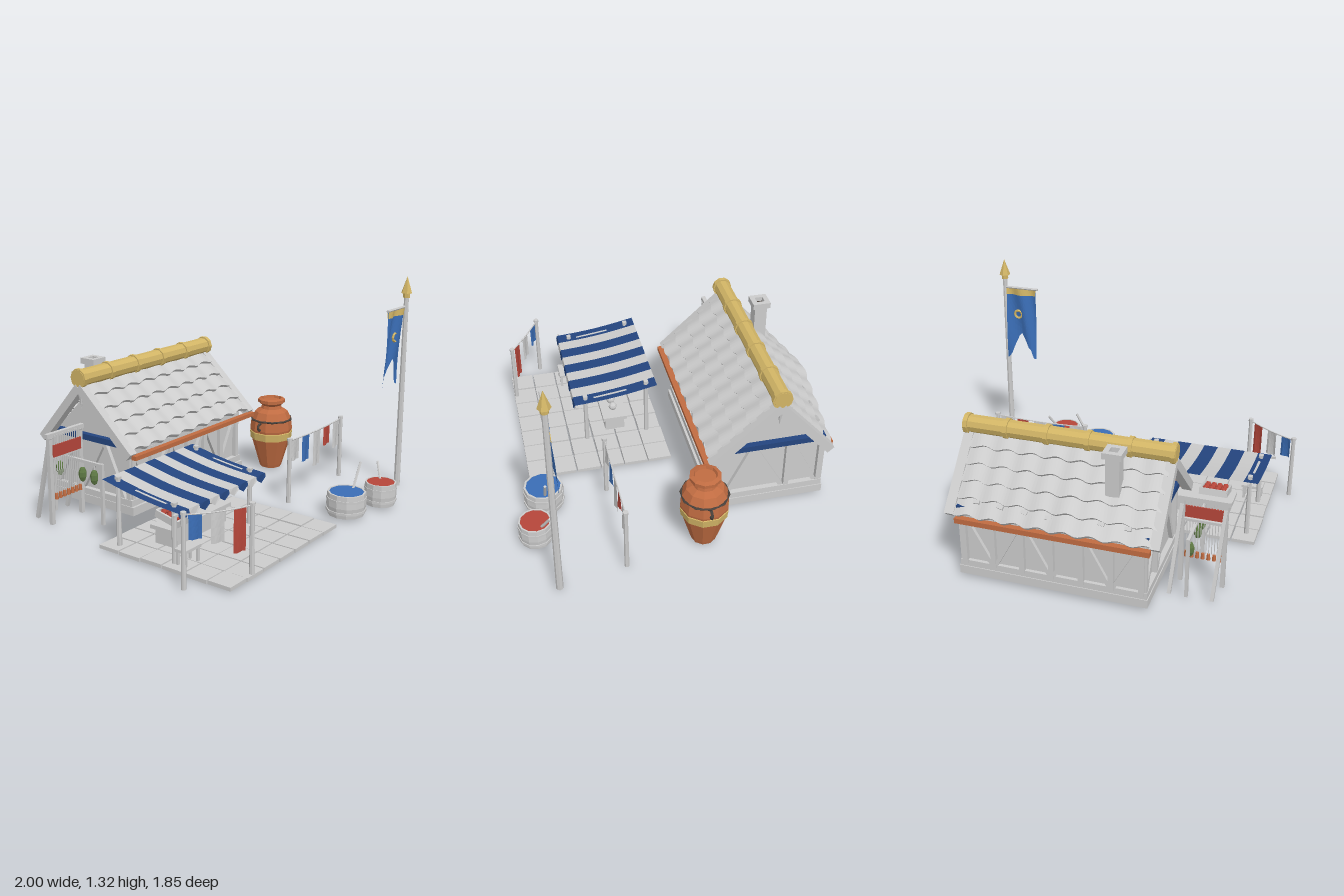
import * as THREE from 'three';
import { ParametricGeometry } from 'three/addons/geometries/ParametricGeometry.js';

const GREY = 0xcccccc, GOLD = 0xd2b566, BLUE = 0x3a6db5, NAVY = 0x24457f, RED = 0xb5463a,
  CLAY = 0xc06c42, DARK = 0x4a423c, GREEN = 0x5f7a45;
const V = (x, y, z) => new THREE.Vector3(x, y, z);
const lerp = THREE.MathUtils.lerp;
const mats = {};
const mat = (c) => (mats[c] ??= new THREE.MeshStandardMaterial({ color: c, flatShading: true, side: THREE.DoubleSide }));
const jitter = (n) => { const s = Math.sin(n * 12.9898) * 43758.5453; return s - Math.floor(s) - 0.5; };

function add(parent, name, geo, color = GREY, pos = [0, 0, 0]) {
  const m = new THREE.Mesh(geo, mat(color));
  m.name = name;
  m.position.set(...pos);
  parent.add(m);
  return m;
}
function group(parent, name) {
  const g = new THREE.Group();
  g.name = name;
  parent.add(g);
  return g;
}
const box = (p, name, size, pos, color) => add(p, name, new THREE.BoxGeometry(...size), color, pos);
const cyl = (p, name, r1, r2, h, n, pos, color) => add(p, name, new THREE.CylinderGeometry(r1, r2, h, n), color, pos);

// Bar between two points: square if sides = 0, otherwise round
function beam(p, name, a, b, w, d, color, sides = 0) {
  const dir = b.clone().sub(a), len = dir.length();
  const geo = sides ? new THREE.CylinderGeometry(w / 2, w / 2, len, sides) : new THREE.BoxGeometry(w, len, d);
  const m = add(p, name, geo, color);
  m.position.copy(a).add(b).multiplyScalar(0.5);
  m.quaternion.setFromUnitVectors(V(0, 1, 0), dir.normalize());
  return m;
}
const sheet = (p, name, f, nu, nv, color) =>
  add(p, name, new ParametricGeometry((u, v, t) => t.copy(f(u, v)), nu, nv), color);

// Overlapping wavy tile courses between a ridge line and an eave line
function roofSlope(p, name, x0, x1, top, eave, side) {
  const courses = 5;
  for (let i = 0; i < courses; i++) {
    sheet(p, name, (u, v) => {
      const x = lerp(x0, x1, u), e = eave(x), ph = (x * Math.PI * 2) / 0.14;
      const low = v > 0.25;
      const t = low ? (i + 1) / courses + 0.018 * Math.sin(ph) : i / courses - 0.02;
      const n = V(0, e[0] - top[0], top[1] - e[1]);
      n.y = Math.abs(n.y);
      n.z = Math.abs(n.z) * side;
      n.normalize();
      const lift = (v > 0.75 ? 0 : low ? 0.024 : 0.004) + 0.004 * Math.cos(ph);
      return V(x, lerp(top[1], e[1], t), lerp(top[0], e[0], t)).addScaledVector(n, lift);
    }, 64, 2, GREY);
  }
}

function buildHouse(root) {
  const h = group(root, 'house');
  const xa = -0.43, xb = 0.57, zf = -0.23, zb = -0.82, zr = -0.535;
  box(h, 'plinth', [1.07, 0.05, 0.66], [0.07, 0.045, -0.515]);
  box(h, 'sill', [1.06, 0.045, 0.64], [0.07, 0.085, -0.52]);
  const s = new THREE.Shape([[zf, 0.06], [zf, 0.42], [zr, 0.7], [zb, 0.42], [zb, 0.06]].map((q) => new THREE.Vector2(...q)));
  const walls = new THREE.ExtrudeGeometry(s, { depth: xb - xa, bevelEnabled: false });
  walls.rotateY(-Math.PI / 2).translate(xb, 0, 0);
  add(h, 'walls', walls);

  // Timber framing on the long walls
  for (const z of [zf + 0.008, zb - 0.008]) {
    box(h, 'wallPlate', [1.05, 0.035, 0.03], [0.07, 0.385, z]);
    for (let i = 0; i <= 6; i++) box(h, 'wallPost', [0.03, 0.3, 0.035], [lerp(xa, xb, i / 6), 0.24, z]);
    for (let i = 0; i < 6; i++) {
      const a = lerp(xa, xb, (i + 0.08) / 6), b = lerp(xa, xb, (i + 0.92) / 6), up = i % 2;
      beam(h, 'wallBrace', V(a, up ? 0.11 : 0.37, z), V(b, up ? 0.37 : 0.11, z), 0.022, 0.025);
    }
  }
  // Gable framing, tie beams and barge boards at both ends
  for (const [x, bx] of [[xa - 0.01, -0.5], [xb + 0.01, 0.64]]) {
    for (const z of [zf, -0.625, zb]) box(h, 'gablePost', [0.035, 0.34, 0.03], [x, 0.26, z]);
    box(h, 'tieBeam', [0.05, 0.035, 0.62], [x, 0.425, -0.525], NAVY);
    beam(h, 'gableBrace', V(x, 0.1, -0.27), V(x, 0.42, -0.42), 0.026, 0.026);
    beam(h, 'gableBrace', V(x, 0.42, -0.42), V(x, 0.1, -0.6), 0.026, 0.026);
    beam(h, 'gableBrace', V(x, 0.42, -0.64), V(x, 0.1, -0.8), 0.026, 0.026);
    beam(h, 'bargeBoard', V(bx, 0.735, zr), V(bx, 0.39, -0.16), 0.055, 0.05);
    beam(h, 'bargeBoard', V(bx, 0.735, zr), V(bx, 0.385, -0.845), 0.055, 0.05);
    const drop = add(h, 'gablePendant', new THREE.ConeGeometry(0.018, 0.09, 6), GREY, [bx, 0.65, zr]);
    drop.rotation.x = Math.PI;
  }
  // Roof: straight in front, bowed outward at the back
  roofSlope(h, 'frontRoofTiles', -0.49, 0.63, [zr, 0.75], () => [-0.165, 0.415], 1);
  roofSlope(h, 'backRoofTiles', -0.5, 0.62, [zr, 0.75], (x) => {
    const k = x < -0.04 ? (x + 0.5) / 0.46 : (0.62 - x) / 0.66;
    return [lerp(-0.845, -0.915, k), lerp(0.39, 0.43, k)];
  }, -1);
  for (let i = 0; i < 7; i++) {
    const m = box(h, 'brokenTile', [0.035, 0.015, 0.02], [-0.35 + i * 0.14, 0.475 + 0.01 * jitter(i), -0.85 + 0.03 * Math.abs(i - 3) / 3]);
    m.rotation.set(-0.8, jitter(i + 3), 0);
  }
  box(h, 'frontEaveBoard', [1.15, 0.025, 0.035], [0.07, 0.387, -0.14], CLAY);
  box(h, 'backEaveBoard', [1.08, 0.03, 0.035], [0.06, 0.375, -0.865], CLAY);
  cyl(h, 'ridgeLog', 0.05, 0.05, 1.19, 10, [0.07, 0.787, zr], GOLD).rotation.z = Math.PI / 2;
  for (let i = 0; i < 6; i++)
    cyl(h, 'ridgeBand', 0.058, 0.058, 0.025, 10, [-0.51 + i * 0.232, 0.787, zr], GOLD).rotation.z = Math.PI / 2;

  // Chimney with a hollow cap
  box(h, 'chimneyStack', [0.075, 0.28, 0.075], [-0.235, 0.67, -0.69]);
  const cap = new THREE.Shape([[-1, -1], [1, -1], [1, 1], [-1, 1]].map(([a, b]) => new THREE.Vector2(a * 0.053, b * 0.053)));
  cap.holes.push(new THREE.Path([[-1, -1], [-1, 1], [1, 1], [1, -1]].map(([a, b]) => new THREE.Vector2(a * 0.024, b * 0.024))));
  add(h, 'chimneyCap', new THREE.ExtrudeGeometry(cap, { depth: 0.035, bevelEnabled: false }), GREY, [-0.235, 0.805, -0.69]).rotation.x = -Math.PI / 2;
  box(h, 'chimneyFlue', [0.046, 0.004, 0.046], [-0.235, 0.812, -0.69], DARK);
}

function buildStall(root) {
  const g = group(root, 'marketStall');
  for (let i = 0; i < 7; i++) for (let j = 0; j < 6; j++) {
    const k = i * 6 + j, size = 0.136 + 0.006 * jitter(k);
    const m = box(g, 'pavingSlab', [size, 0.02, size], [-0.815 + i * 0.1445, 0.016 + 0.005 * jitter(k + 50), 0.008 + j * 0.1445]);
    m.rotation.y = 0.03 * jitter(k + 99);
  }
  // Striped awning with pointed valance
  const x0 = -0.875, w = 0.0843, roofY = (t) => lerp(0.395, 0.325, t) - 0.012 * Math.sin(Math.PI * t);
  for (let i = 0; i < 9; i++) {
    const c = i % 2 ? GREY : NAVY, xl = x0 + i * w;
    sheet(g, 'awningStripe', (u, v) => V(xl + u * w, roofY(v), lerp(-0.03, 0.475, v)), 1, 8, c);
    sheet(g, 'awningValance', (u, v) => V(xl + u * w, 0.325 - v * (0.02 + 0.025 * (1 - Math.abs(2 * u - 1))), 0.475 + 0.006 * v), 2, 1, c);
  }
  for (const x of [-0.82, -0.16]) {
    for (const [z, top] of [[0.03, 0.4], [0.405, 0.345]]) {
      cyl(g, 'awningPost', 0.013, 0.015, top, 7, [x, top / 2, z]);
      box(g, 'postCap', [0.026, 0.014, 0.026], [x, top, z]);
    }
    beam(g, 'awningRail', V(x, 0.375, -0.03), V(x, 0.312, 0.47), 0.014, 0.014);
  }
  beam(g, 'awningFrontRail', V(-0.9, 0.314, 0.465), V(-0.1, 0.314, 0.465), 0.014, 0.014);
  // Counter with goods
  box(g, 'counterBody', [0.47, 0.09, 0.12], [-0.445, 0.065, 0.22]);
  box(g, 'counterTop', [0.52, 0.022, 0.15], [-0.445, 0.122, 0.22]);
  const crate = group(g, 'fruitCrate');
  crate.position.set(-0.585, 0.17, 0.225);
  crate.rotation.x = 0.22;
  box(crate, 'crateFloor', [0.16, 0.012, 0.15], [0, -0.015, 0]);
  for (const s of [-1, 1]) {
    box(crate, 'crateSide', [0.012, 0.04, 0.15], [s * 0.08, 0, 0]);
    box(crate, 'crateEnd', [0.16, 0.04, 0.012], [0, 0, s * 0.072]);
  }
  for (let i = 0; i < 12; i++)
    add(crate, 'fruit', new THREE.IcosahedronGeometry(0.02, 0), RED, [-0.054 + (i % 4) * 0.036, 0.012, -0.042 + Math.floor(i / 4) * 0.042]);
  for (const x of [-0.34, -0.27]) add(g, 'counterPot', new THREE.SphereGeometry(0.026, 8, 6), GREY, [x, 0.158, 0.22]);
  // Low stool
  box(g, 'stoolSeat', [0.13, 0.016, 0.07], [-0.775, 0.107, 0.455]);
  for (const x of [-0.825, -0.725]) for (const z of [0.43, 0.48]) box(g, 'stoolLeg', [0.014, 0.08, 0.014], [x, 0.062, z]);
}

// Washing line: pieces are [position along the line, width, length, colour]
function buildLine(root, a, b, pieces) {
  const g = group(root, 'washingLine');
  for (const q of [a, b]) {
    cyl(g, 'linePost', 0.012, 0.014, 0.4, 7, [q.x, 0.2, q.z]);
    cyl(g, 'linePostTop', 0.016, 0.016, 0.016, 7, [q.x, 0.392, q.z]);
  }
  const dir = b.clone().sub(a).normalize(), out = V(-dir.z, 0, dir.x);
  const at = (d) => a.clone().addScaledVector(dir, d).setY(0.385 - 0.01 * Math.sin(Math.PI * d / a.distanceTo(b)));
  const curve = new THREE.CatmullRomCurve3([0, 0.25, 0.5, 0.75, 1].map((t) => at(t * a.distanceTo(b))));
  add(g, 'rope', new THREE.TubeGeometry(curve, 12, 0.004, 5));
  for (const [d, w, len, c] of pieces)
    sheet(g, 'hangingCloth', (u, v) => at(d + (u - 0.5) * w).add(V(0, -v * len, 0)).addScaledVector(out, 0.008 * v * Math.sin(u * 6)), 4, 4, c);
}

function buildJar(root) {
  const g = group(root, 'giantJar');
  g.position.set(0.79, 0, -0.085);
  const lathe = (name, pts, c) => add(g, name, new THREE.LatheGeometry(pts.map((q) => new THREE.Vector2(...q)), 10), c);
  lathe('jarBody', [[0, 0.01], [0.068, 0.01], [0.075, 0.03], [0.125, 0.2], [0.137, 0.27], [0.128, 0.34], [0.105, 0.385],
    [0.068, 0.405], [0.062, 0.425], [0.088, 0.445], [0.088, 0.465], [0.065, 0.472], [0.06, 0.455], [0, 0.455]], CLAY);
  lathe('jarBand', [[0.122, 0.2], [0.133, 0.205], [0.138, 0.252], [0.133, 0.257]], GOLD);
  add(g, 'jarRing', new THREE.TorusGeometry(0.131, 0.007, 5, 10), DARK, [0, 0.335, 0]).rotation.x = Math.PI / 2;
  for (const s of [-1, 1]) add(g, 'jarLug', new THREE.TorusGeometry(0.022, 0.008, 5, 8), DARK, [s * 0.132, 0.3, 0]);
}

function buildVat(root, x, z, r, color, from, to) {
  const g = group(root, 'dyeVat');
  const prof = [[0, 0.01], [r * 0.92, 0.01], [r, 0.07], [r * 0.97, 0.145], [r * 0.87, 0.145], [r * 0.87, 0.12]];
  add(g, 'vatTub', new THREE.LatheGeometry(prof.map((q) => new THREE.Vector2(...q)), 12), GREY, [x, 0, z]);
  cyl(g, 'dye', r * 0.88, r * 0.88, 0.01, 12, [x, 0.138, z], color);
  for (const y of [0.04, 0.11]) cyl(g, 'vatHoop', r * 1.02, r * 1.02, 0.014, 12, [x, y, z]);
  beam(g, 'stirringStick', V(...from), V(...to), 0.016, 0, GREY, 6);
}

function buildBanner(root) {
  const g = group(root, 'bannerPole');
  cyl(g, 'pole', 0.015, 0.02, 1.22, 8, [0.972, 0.61, 0.745]);
  cyl(g, 'finialCollar', 0.022, 0.022, 0.03, 8, [0.972, 1.2, 0.745], GOLD);
  add(g, 'finial', new THREE.ConeGeometry(0.035, 0.1, 6), GOLD, [0.972, 1.262, 0.745]);
  beam(g, 'crossBar', V(0.745, 1.13, 0.74), V(0.972, 1.13, 0.74), 0.016, 0, GREY, 6);
  const wave = (u, v) => 0.735 - 0.018 * v + 0.01 * Math.sin(u * 9 + v * 3);
  // Forked, ragged banner
  sheet(g, 'bannerCloth', (u, v) => {
    const len = 0.29 + 0.19 * Math.abs(2 * u - 1) + 0.03 * jitter(Math.round(u * 12));
    return V(0.76 + 0.2 * u, 1.12 - v * len, wave(u, v));
  }, 12, 10, BLUE);
  for (const dz of [-0.004, 0.004])
    sheet(g, 'bannerHem', (u, v) => V(0.76 + 0.2 * u, 1.125 - v * 0.04, wave(u, v * 0.1) + dz), 12, 1, GOLD);
  add(g, 'bannerRing', new THREE.TorusGeometry(0.025, 0.008, 5, 10), GOLD, [0.88, 0.955, 0.727]);
}

function buildLoom(root) {
  const g = group(root, 'loom');
  beam(g, 'topBeam', V(-0.815, 0.52, -0.505), V(-0.53, 0.52, -0.505), 0.025, 0.025);
  beam(g, 'lowerBeam', V(-0.8, 0.39, -0.505), V(-0.54, 0.39, -0.505), 0.016, 0.016);
  for (const x of [-0.79, -0.555]) {
    beam(g, 'upright', V(x, 0, -0.505), V(x, 0.53, -0.505), 0.024, 0.024);
    beam(g, 'backStrut', V(x + 0.025, 0, -0.65), V(x, 0.51, -0.5), 0.02, 0.02);
  }
  for (let i = 0; i < 13; i++) {
    const x = -0.765 + i * 0.0155;
    beam(g, 'warpThread', V(x, 0.18, -0.49), V(x, 0.52, -0.49), 0.004, 0.004);
    if (i % 2 === 0) cyl(g, 'loomWeight', 0.009, 0.012, 0.035, 6, [x, 0.165, -0.49], CLAY);
  }
  box(g, 'wovenCloth', [0.215, 0.07, 0.008], [-0.672, 0.43, -0.489], RED);
  // Herb drying rail
  beam(g, 'dryingRail', V(-0.625, 0.35, -0.66), V(-0.625, 0.35, -0.26), 0.016, 0.016);
  for (const z of [-0.65, -0.27]) beam(g, 'railPost', V(-0.625, 0, z), V(-0.625, 0.36, z), 0.018, 0.018);
  for (const z of [-0.6, -0.42, -0.33]) {
    const m = add(g, 'herbBundle', new THREE.SphereGeometry(0.024, 7, 5), GREEN, [-0.625, 0.27, z]);
    m.scale.y = 1.9;
    beam(g, 'herbString', V(-0.625, 0.3, z), V(-0.625, 0.35, z), 0.006, 0.006);
  }
}

export function createModel() {
  const root = new THREE.Group();
  root.name = 'dyersYard';
  buildHouse(root);
  buildStall(root);
  buildLine(root, V(-0.985, 0, 0.595), V(-0.685, 0, 0.785),
    [[0.06, 0.07, 0.13, BLUE], [0.175, 0.07, 0.16, GREY], [0.29, 0.065, 0.23, RED]]);
  buildLine(root, V(0.3, 0, 0.37), V(0.9, 0, 0.37),
    [[0.06, 0.09, 0.13, GREY], [0.18, 0.08, 0.16, BLUE], [0.31, 0.08, 0.22, GREY], [0.425, 0.075, 0.12, RED], [0.54, 0.075, 0.17, GREY]]);
  buildJar(root);
  buildVat(root, 0.335, 0.74, 0.115, BLUE, [0.39, 0.1, 0.74], [0.49, 0.28, 0.74]);
  buildVat(root, 0.6, 0.82, 0.095, RED, [0.63, 0.1, 0.81], [0.695, 0.23, 0.745]);
  buildBanner(root);
  buildLoom(root);
  return root;
}
